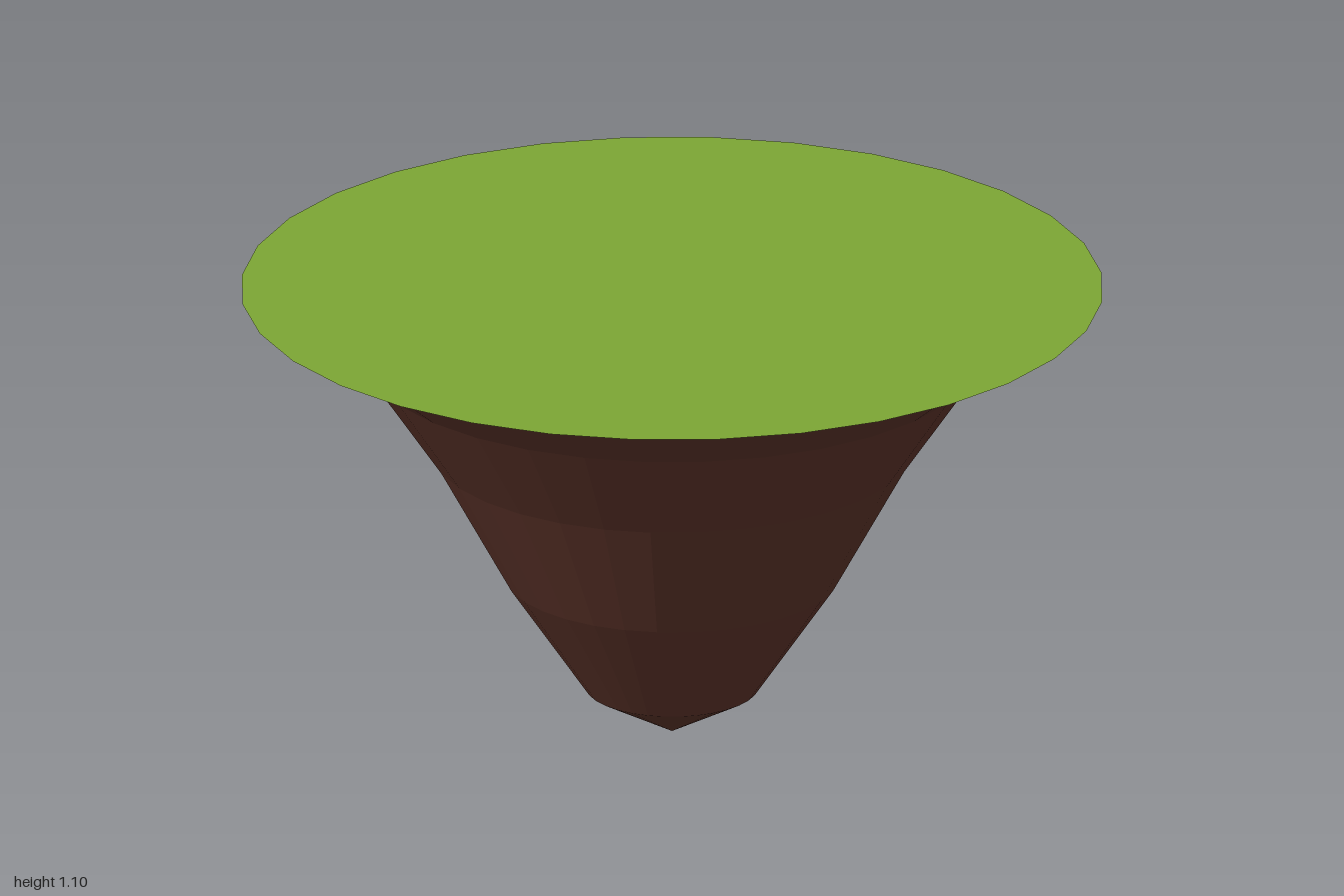
import * as THREE from 'three';

const SIDES = 32;
const TOP = 1.095;

export function createModel() {
  const group = new THREE.Group();
  group.name = 'floatingIsland';

  // Earth underside: faceted bell that narrows to a blunt point
  const profile = [
    [0, 0], [0.2, 0.11], [0.39, 0.39], [0.56, 0.7],
    [0.72, 0.935], [0.85, 1.04], [0.95, 1.08], [1, TOP],
  ].map(([r, y]) => new THREE.Vector2(r, y));
  const earth = new THREE.Mesh(
    new THREE.LatheGeometry(profile, SIDES),
    new THREE.MeshStandardMaterial({ color: 0x5a3228, flatShading: true })
  );
  earth.name = 'earthUnderside';
  group.add(earth);

  // Flat grass disc closing the top
  const grass = new THREE.Mesh(
    new THREE.CircleGeometry(1, SIDES).rotateX(-Math.PI / 2),
    new THREE.MeshStandardMaterial({ color: 0x7ca534, flatShading: true })
  );
  grass.name = 'grassTop';
  grass.position.y = TOP;
  group.add(grass);

  return group;
}
